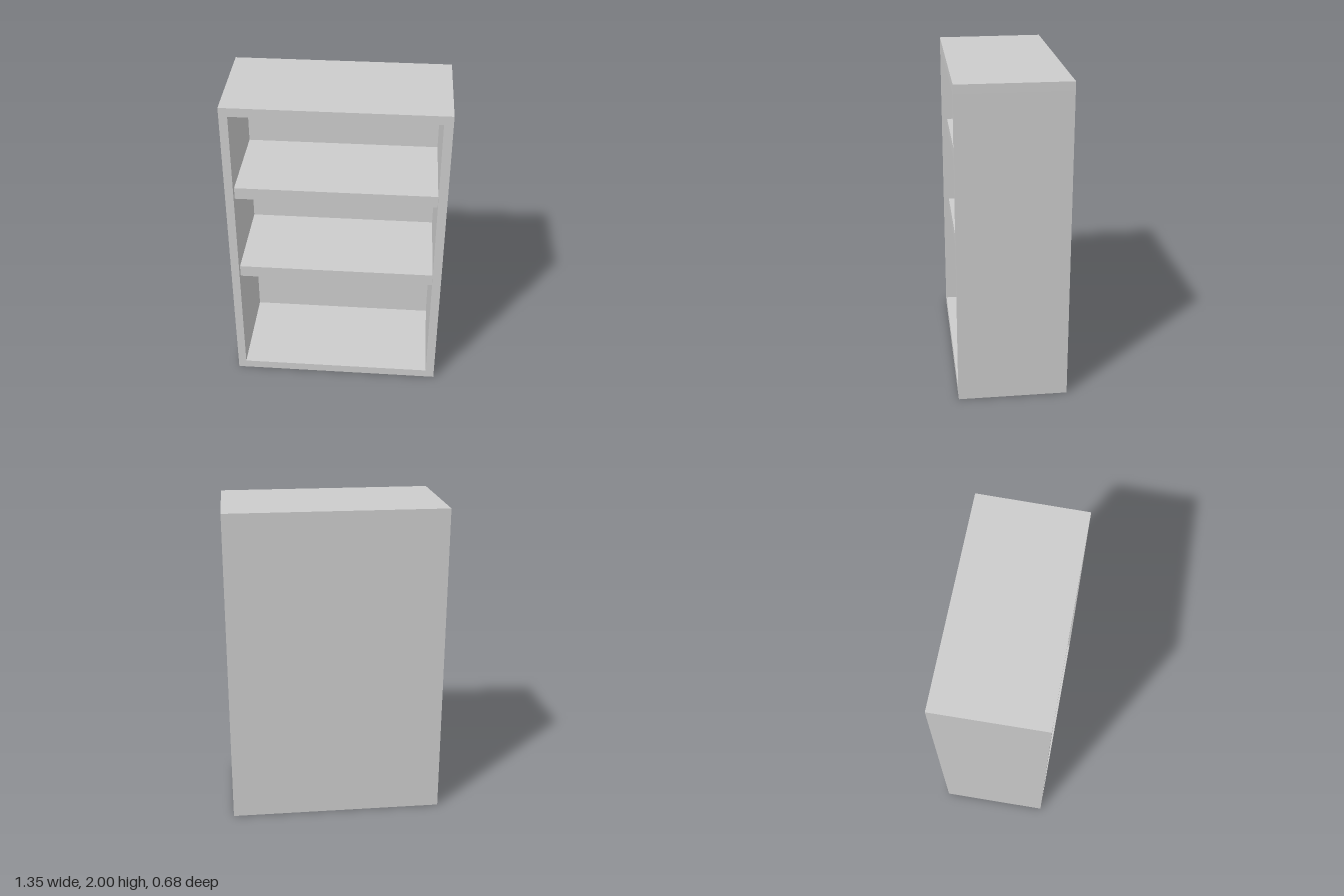
import * as THREE from 'three';

export function createModel() {
  const group = new THREE.Group();
  const material = new THREE.MeshStandardMaterial({ color: 0xcccccc, flatShading: true });

  // Main dimensions
  const height = 2, board = 0.055;
  const front = 0.34, back = -0.34, innerBack = -0.285, shelfFront = 0.306;
  const right = -0.675, rightFront = -0.662, innerRight = -0.61;
  const left = 0.675, innerLeft = 0.62;

  // Upright slab from a plan outline of [x, z] points
  function slab(name, plan, y0, y1) {
    const shape = new THREE.Shape(plan.map(([x, z]) => new THREE.Vector2(x, -z)));
    const geometry = new THREE.ExtrudeGeometry(shape, { depth: y1 - y0, bevelEnabled: false });
    geometry.rotateX(-Math.PI / 2).translate(0, y0, 0);
    const mesh = new THREE.Mesh(geometry, material);
    mesh.name = name;
    group.add(mesh);
  }
  const rect = (x0, x1, z0, z1) => [[x0, z1], [x1, z1], [x1, z0], [x0, z0]];

  // Top and bottom boards follow the slightly tapered right side
  const outline = [[rightFront, front], [left, front], [left, back], [right, back]];
  slab('bottomBoard', outline, 0, board);
  slab('topBoard', outline, height - board, height);

  // Side walls and back panel
  const y0 = board, y1 = height - board;
  slab('rightWall', [[rightFront, front], [innerRight, front], [innerRight, back], [right, back]], y0, y1);
  slab('leftWall', rect(innerLeft, left, back, front), y0, y1);
  slab('backPanel', rect(innerRight, innerLeft, back, innerBack), y0, y1);

  // Shelves, set back a little from the front
  [[0.77, 0.847], [1.365, 1.441]].forEach(([a, b], i) =>
    slab(i ? 'upperShelf' : 'lowerShelf', rect(innerRight, innerLeft, innerBack, shelfFront), a, b));

  return group;
}
